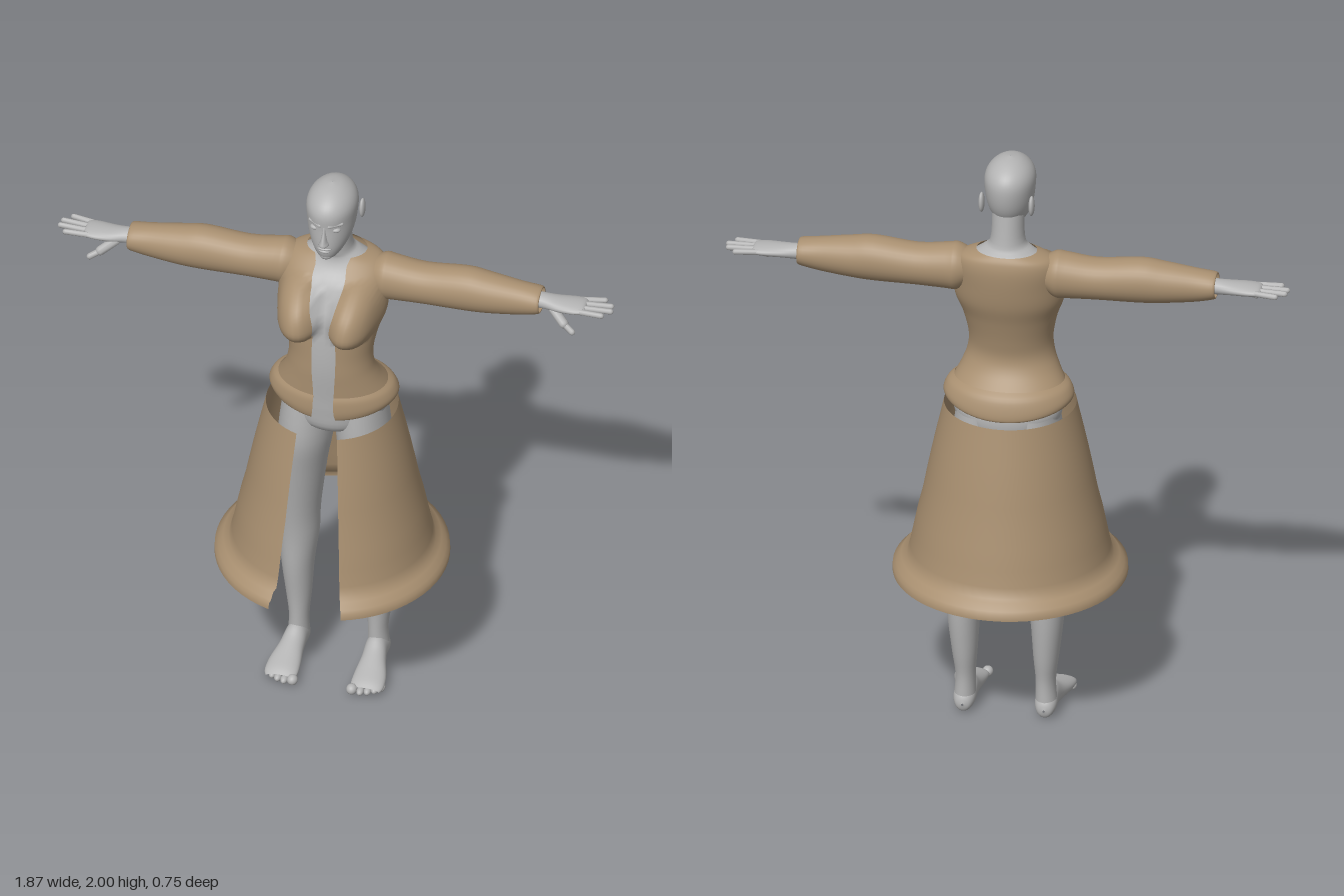
import * as THREE from 'three';
import { mergeVertices } from 'three/addons/utils/BufferGeometryUtils.js';

// Smoothly interpolate a list of cross-section rows
function smoothRows(rows, steps) {
  const out = [];
  for (let i = 0; i < rows.length - 1; i++) {
    const [a, b, c, d] = [rows[Math.max(i - 1, 0)], rows[i], rows[i + 1], rows[Math.min(i + 2, rows.length - 1)]];
    for (let s = 0; s < steps; s++) {
      const t = s / steps;
      out.push(b.map((_, k) => 0.5 * (2 * b[k] + (c[k] - a[k]) * t + (2 * a[k] - 5 * b[k] + 4 * c[k] - d[k]) * t * t
        + (3 * b[k] - a[k] - 3 * c[k] + d[k]) * t * t * t)));
    }
  }
  out.push(rows[rows.length - 1]);
  return out;
}

// Loft ellipses upward; row = [y, centreX, centreZ, radiusX, radiusZ, halfGapAtFront]
function loft(rows, { sides = 32, steps = 4, deform } = {}) {
  const rings = smoothRows(rows, steps), pos = [], index = [], w = sides + 1;
  rings.forEach(([y, cx, cz, rx, rz, gap = 0]) => {
    const start = Math.asin(Math.min(0.95, gap / rx));
    for (let j = 0; j <= sides; j++) {
      const a = start + (2 * Math.PI - 2 * start) * j / sides;
      const closed = j === sides && gap === 0;
      const p = new THREE.Vector3(cx + rx * Math.sin(closed ? 0 : a), y, cz + rz * Math.cos(closed ? 0 : a));
      if (deform) deform(p, Math.cos(a));
      pos.push(p.x, p.y, p.z);
    }
  });
  for (let i = 0; i < rings.length - 1; i++) {
    for (let j = 0; j < sides; j++) {
      const k = i * w + j;
      index.push(k, k + 1, k + w + 1, k, k + w + 1, k + w);
    }
  }
  let geo = new THREE.BufferGeometry();
  geo.setAttribute('position', new THREE.Float32BufferAttribute(pos, 3));
  geo.setIndex(index);
  geo = mergeVertices(geo, 1e-5);
  geo.computeVertexNormals();
  return geo;
}

// Mirror across x, keeping faces outward
function mirror(geo) {
  const g = geo.clone().scale(-1, 1, 1), ix = g.index.array;
  for (let i = 0; i < ix.length; i += 3) [ix[i], ix[i + 1]] = [ix[i + 1], ix[i]];
  g.computeVertexNormals();
  return g;
}

const ball = (x, y, z, rx, ry, rz) => new THREE.SphereGeometry(1, 20, 14).scale(rx, ry, rz).translate(x, y, z);

// Rounded rod between two points
function rod(a, b, r) {
  const from = new THREE.Vector3(...a), to = new THREE.Vector3(...b), dir = to.clone().sub(from);
  const q = new THREE.Quaternion().setFromUnitVectors(new THREE.Vector3(0, 1, 0), dir.clone().normalize());
  const mid = from.add(to).multiplyScalar(0.5);
  return new THREE.CapsuleGeometry(r, dir.length(), 5, 10).applyQuaternion(q).translate(mid.x, mid.y, mid.z);
}

// Push the chest forward
const bust = (amount) => (p, facing) => {
  if (facing <= 0) return;
  const s = (Math.abs(p.x) - 0.1) / 0.085, t = (p.y - 1.495) / (p.y > 1.495 ? 0.14 : 0.075);
  p.z += amount * Math.min(1, facing * 1.8) * Math.pow(Math.max(0, 1 - s * s - t * t), 0.65);
};

export function createModel() {
  const model = new THREE.Group();
  const skin = new THREE.MeshStandardMaterial({ color: 0xb4b4b4 });
  skin.name = 'grey skin';
  const cloth = new THREE.MeshStandardMaterial({ color: 0xa88f70, side: THREE.DoubleSide });
  cloth.name = 'tan cloth';
  const add = (name, geo, mat) => {
    const mesh = new THREE.Mesh(geo, mat);
    mesh.name = name;
    model.add(mesh);
  };
  const pair = (name, geo, mat) => {
    add(name + 'Left', geo, mat);
    add(name + 'Right', mirror(geo), mat);
  };

  // Torso and neck
  add('torso', loft([
    [0.98, 0, -0.04, 0.04, 0.05], [1.03, 0, -0.04, 0.14, 0.115], [1.1, 0, -0.04, 0.18, 0.13],
    [1.17, 0, -0.025, 0.168, 0.122], [1.29, 0, 0.015, 0.128, 0.095], [1.4, 0, 0.003, 0.132, 0.107],
    [1.5, 0, -0.015, 0.165, 0.115], [1.6, 0, -0.037, 0.165, 0.105], [1.655, 0, -0.056, 0.135, 0.082],
    [1.69, 0, -0.055, 0.085, 0.066], [1.72, 0, -0.047, 0.057, 0.063], [1.82, 0, -0.035, 0.053, 0.062],
  ], { sides: 48, deform: bust(0.08) }), skin);

  // Head and face
  add('head', loft([
    [1.745, 0, 0.055, 0.012, 0.02], [1.757, 0, 0.04, 0.036, 0.058], [1.79, 0, 0.02, 0.058, 0.09],
    [1.83, 0, 0.006, 0.073, 0.106], [1.88, 0, -0.002, 0.081, 0.113], [1.93, 0, -0.002, 0.083, 0.114],
    [1.965, 0, -0.002, 0.068, 0.094], [1.99, 0, -0.002, 0.037, 0.052], [2.0, 0, -0.002, 0.001, 0.001],
  ], { sides: 40 }), skin);
  add('nose', loft([
    [1.818, 0, 0.1, 0.004, 0.012], [1.825, 0, 0.108, 0.017, 0.026], [1.84, 0, 0.106, 0.012, 0.026],
    [1.87, 0, 0.102, 0.007, 0.017], [1.895, 0, 0.1, 0.006, 0.011],
  ], { sides: 16 }), skin);
  add('upperLip', ball(0, 1.803, 0.103, 0.024, 0.006, 0.012), skin);
  add('lowerLip', ball(0, 1.792, 0.102, 0.02, 0.007, 0.012), skin);
  add('chin', ball(0, 1.765, 0.085, 0.022, 0.017, 0.018), skin);
  pair('eye', ball(0.034, 1.878, 0.091, 0.017, 0.01, 0.014), skin);
  pair('brow', rod([0.016, 1.896, 0.106], [0.052, 1.898, 0.083], 0.007), skin);
  pair('ear', ball(0.083, 1.858, -0.015, 0.01, 0.036, 0.02).rotateX(-0.03), skin);

  // Legs and feet
  pair('leg', loft([
    [0.05, 0.135, -0.085, 0.036, 0.045], [0.13, 0.133, -0.085, 0.033, 0.045], [0.22, 0.135, -0.09, 0.042, 0.055],
    [0.35, 0.138, -0.09, 0.054, 0.07], [0.48, 0.133, -0.088, 0.066, 0.077], [0.6, 0.128, -0.075, 0.069, 0.082],
    [0.8, 0.112, -0.05, 0.08, 0.1], [0.95, 0.098, -0.04, 0.09, 0.12], [1.1, 0.09, -0.04, 0.08, 0.115],
  ]), skin);
  pair('foot', loft([
    [-0.137, 0.135, -0.035, 0.004, 0.004], [-0.128, 0.135, -0.037, 0.024, 0.028], [-0.1, 0.135, -0.046, 0.036, 0.043],
    [-0.05, 0.135, -0.056, 0.037, 0.054], [0, 0.139, -0.045, 0.042, 0.042], [0.06, 0.144, -0.034, 0.053, 0.031],
    [0.11, 0.145, -0.026, 0.055, 0.022], [0.135, 0.145, -0.022, 0.045, 0.012],
  ]).rotateX(Math.PI / 2), skin);
  for (let i = 0; i < 5; i++) {
    const r = i ? 0.0125 : 0.018;
    pair('toe' + (i + 1), ball([0.1, 0.128, 0.151, 0.172, 0.19][i], r + 0.005, 0.136 - i * i * 0.0025, r, r, 0.02), skin);
  }

  // Hands: palm, four fingers and thumb
  pair('palm', loft([
    [0.64, -1.61, -0.05, 0.028, 0.032], [0.7, -1.608, -0.05, 0.025, 0.031], [0.75, -1.607, -0.047, 0.021, 0.04],
    [0.8, -1.608, -0.048, 0.018, 0.046], [0.835, -1.609, -0.05, 0.013, 0.043], [0.845, -1.609, -0.05, 0.003, 0.03],
  ], { sides: 20 }).rotateZ(-Math.PI / 2), skin);
  [[-0.083, -0.096, 0.895], [-0.061, -0.069, 0.922], [-0.038, -0.042, 0.926], [-0.016, -0.012, 0.902]]
    .forEach(([z0, z1, x], i) => pair('finger' + (i + 1), rod([0.82, 1.609, z0], [x, 1.61, z1], 0.0095), skin));
  pair('thumbBase', rod([0.735, 1.595, -0.03], [0.78, 1.568, 0.005], 0.016), skin);
  pair('thumb', rod([0.78, 1.568, 0.005], [0.812, 1.55, 0.02], 0.0105), skin);

  // Open jacket
  add('jacket', loft([
    [1.19, 0, -0.015, 0.186, 0.135, 0.034], [1.24, 0, 0.007, 0.16, 0.115, 0.036], [1.29, 0, 0.017, 0.143, 0.107, 0.039],
    [1.35, 0, 0.0125, 0.14, 0.11, 0.04], [1.43, 0, 0.001, 0.156, 0.119, 0.038], [1.5, 0, -0.0125, 0.18, 0.128, 0.028],
    [1.57, 0, -0.026, 0.183, 0.126, 0.042], [1.63, 0, -0.048, 0.178, 0.108, 0.055], [1.668, 0, -0.064, 0.155, 0.086, 0.052],
    [1.69, 0, -0.066, 0.1, 0.072, 0.06],
  ], { sides: 56, steps: 6, deform: bust(0.1) }), cloth);

  // Hem band, dipping at front and back
  add('hemBand', loft([
    [1.13, 0, -0.028, 0.195, 0.14, 0.04], [1.138, 0, -0.03, 0.21, 0.153, 0.04], [1.158, 0, -0.026, 0.215, 0.155, 0.036],
    [1.185, 0, -0.02, 0.202, 0.147, 0.034], [1.2, 0, -0.012, 0.182, 0.132, 0.034],
  ], { sides: 56, deform: (p, f) => { p.y -= 0.028 * f * f * THREE.MathUtils.clamp((1.2 - p.y) / 0.06, 0, 1); } }), cloth);

  // Sleeves, built upright and laid along x
  pair('sleeve', loft([
    [0.13, -1.612, -0.054, 0.06, 0.06], [0.165, -1.608, -0.054, 0.08, 0.074], [0.2, -1.606, -0.053, 0.078, 0.072],
    [0.3, -1.602, -0.052, 0.071, 0.068], [0.44, -1.609, -0.05, 0.077, 0.07], [0.52, -1.607, -0.048, 0.07, 0.066],
    [0.62, -1.606, -0.047, 0.057, 0.056], [0.685, -1.609, -0.047, 0.045, 0.053], [0.693, -1.609, -0.047, 0.038, 0.045],
  ]).rotateZ(-Math.PI / 2), cloth);

  // Bell skirt, split at the front
  const profile = [[0.385, 0.483], [0.384, 0.505], [0.372, 0.511], [0.357, 0.535], [0.338, 0.54], [0.328, 0.575], [0.317, 0.63],
    [0.303, 0.7], [0.286, 0.77], [0.273, 0.84], [0.259, 0.91], [0.244, 0.98], [0.228, 1.05], [0.217, 1.1]];
  add('skirt', new THREE.LatheGeometry(profile.map(([r, y]) => new THREE.Vector2(r, y)), 56, 0.32, 2 * Math.PI - 0.64), cloth);

  return model;
}
